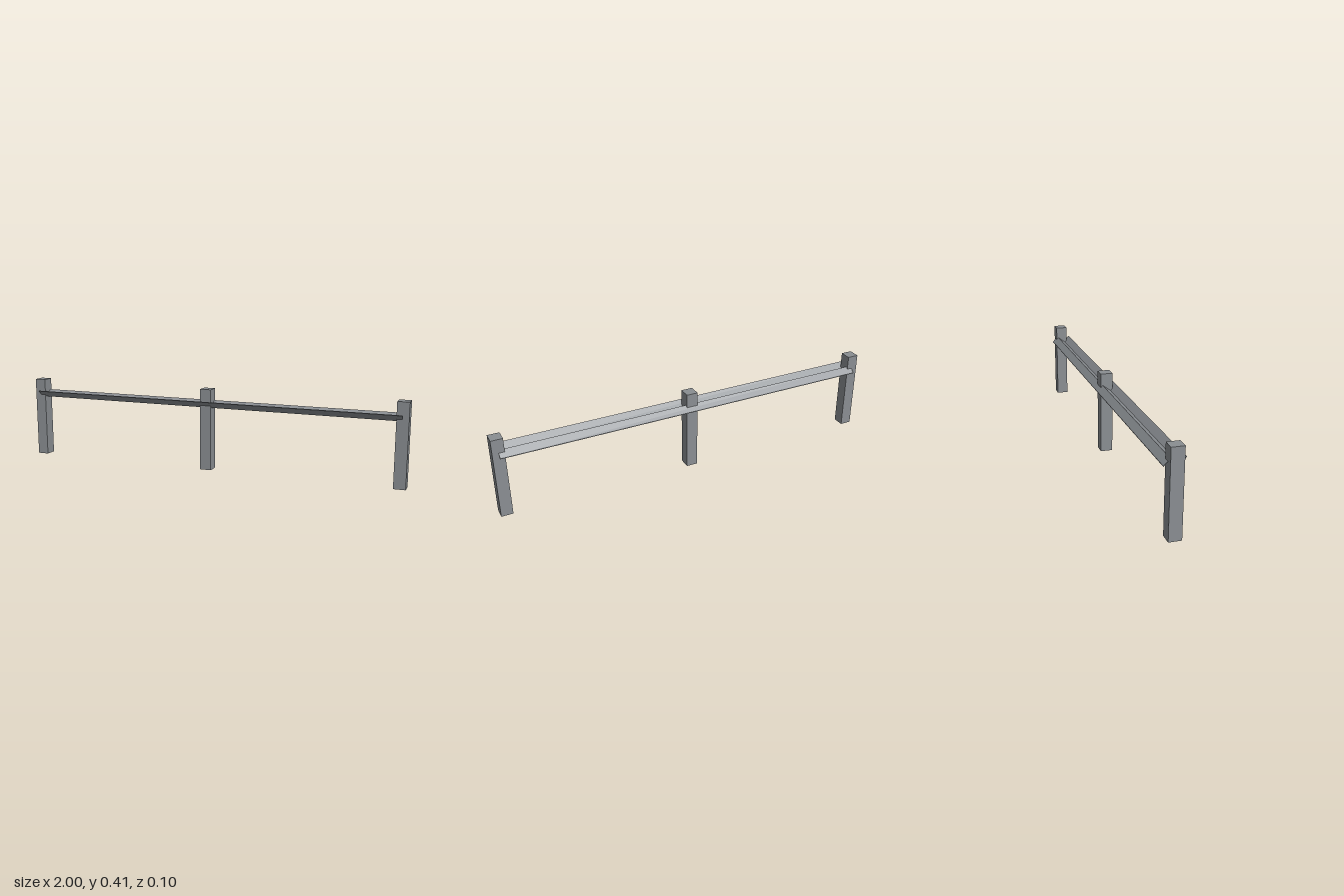
import * as THREE from 'three';

export function createModel() {
  const model = new THREE.Group();
  const steel = new THREE.MeshStandardMaterial({ color: 0x8a8e92 });
  steel.name = 'galvanised grey';

  // Three square posts
  const height = 0.413;
  const postGeometry = new THREE.BoxGeometry(0.058, height, 0.06);
  for (const [name, x] of [['rightPost', -0.971], ['middlePost', 0], ['leftPost', 0.971]]) {
    const post = new THREE.Mesh(postGeometry, steel);
    post.name = name;
    post.position.set(x, height / 2, 0);
    model.add(post);
  }

  // Folded sheet rail: zigzag section in (z, y), given a small thickness
  const section = [[0.049, 0.352], [0.02, 0.322], [-0.02, 0.352], [-0.048, 0.322]];
  const t = 0.0015;
  const outline = [
    ...section.map(([z, y]) => new THREE.Vector2(-z, y + t)),
    ...section.map(([z, y]) => new THREE.Vector2(-z, y - t)).reverse(),
  ];
  const length = 1.94;
  const railGeometry = new THREE.ExtrudeGeometry(new THREE.Shape(outline), {
    depth: length, bevelEnabled: false,
  });
  railGeometry.translate(0, 0, -length / 2);
  railGeometry.rotateY(Math.PI / 2); // section x becomes -z, length runs along x
  const rail = new THREE.Mesh(railGeometry, steel);
  rail.name = 'rail';
  model.add(rail);

  return model;
}
